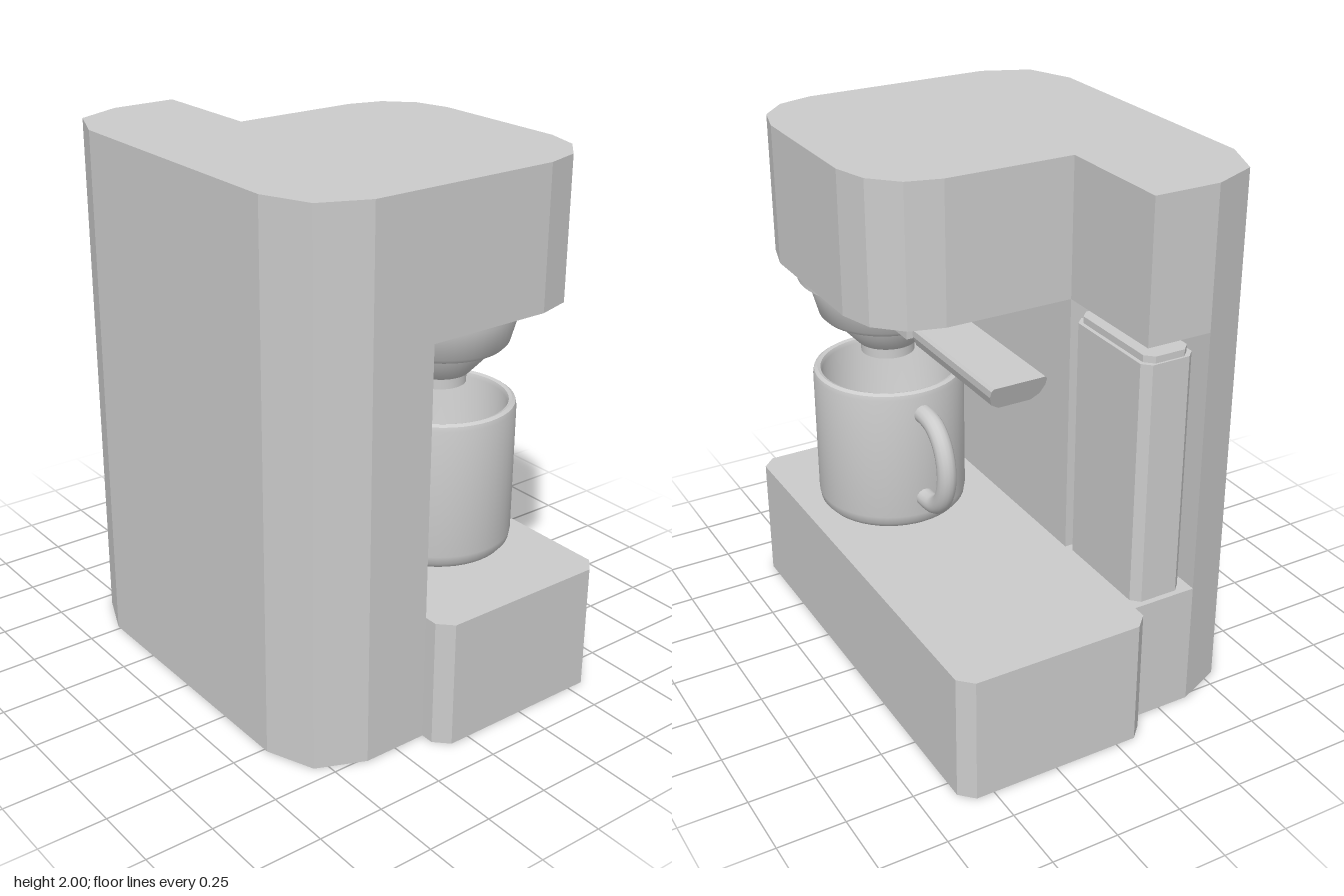
import * as THREE from 'three';
import { toCreasedNormals } from 'three/addons/utils/BufferGeometryUtils.js';

const CX = 0.27, CZ = 0.345; // shared axis of brew head and mug

export function createModel() {
  const group = new THREE.Group();
  const mat = new THREE.MeshStandardMaterial({ color: 0xcccccc });

  function add(name, geo, x = 0, y = 0, z = 0) {
    const mesh = new THREE.Mesh(geo, mat);
    mesh.name = name;
    mesh.position.set(x, y, z);
    group.add(mesh);
    return mesh;
  }
  // Plan outline [x, z] raised from y0 to y1
  function slab(name, pts, y0, y1) {
    const shape = new THREE.Shape(pts.map(([x, z]) => new THREE.Vector2(x, -z)));
    const geo = new THREE.ExtrudeGeometry(shape, { depth: y1 - y0, bevelEnabled: false });
    geo.rotateX(-Math.PI / 2);
    return add(name, geo, 0, y0, 0);
  }
  // Turned part on the shared axis, profile given as [radius, y]
  function turned(name, pts) {
    const geo = new THREE.LatheGeometry(pts.map(([r, y]) => new THREE.Vector2(r, y)), 48);
    return add(name, toCreasedNormals(geo, 0.6), CX, 0, CZ);
  }
  // Rectangle with chamfered corners
  const chamfered = (x0, x1, z0, z1, c) => [
    [x0 + c, z0], [x1 - c, z0], [x1, z0 + c], [x1, z1 - c],
    [x1 - c, z1], [x0 + c, z1], [x0, z1 - c], [x0, z0 + c]];

  // Body: column with a tank notch, and the overhanging head
  const IN = -0.125, D = 0.768;
  const outer = [[IN, D], [-0.373, D], [-0.548, 0.692], [-0.62, 0.515],
    [-0.62, -0.515], [-0.548, -0.692], [-0.373, -D]];
  slab('columnFoot', [...outer, [IN, -D]], 0, 0.482);
  slab('columnMiddle', [...outer, [-0.373, -0.305], [IN, -0.305]], 0.482, 1.485);
  slab('head', [...outer, [IN, -D], [IN, -0.305], [0.36, -0.305], [0.487, -0.27],
    [0.58, -0.175], [0.617, -0.045], [0.617, 0.5], [0.58, 0.632], [0.487, 0.73], [0.355, D]], 1.485, 2);
  slab('base', chamfered(IN, 0.617, -0.867, 0.867, 0.05), 0, 0.482);

  // Water tank and its lid
  slab('waterTank', chamfered(-0.335, -0.13, -0.753, -0.317, 0.03), 0.488, 1.41);
  slab('tankLid', chamfered(-0.32, -0.145, -0.745, -0.325, 0.03), 1.41, 1.435);

  // Brew head and filter basket
  turned('brewRing', [[0, 1.485], [0, 1.44], [0.322, 1.44], [0.322, 1.485]]);
  turned('filterHolder', [[0, 1.13], [0.1, 1.13], [0.1, 1.17], [0.112, 1.172],
    [0.165, 1.23], [0.182, 1.282], [0.235, 1.282], [0.25, 1.298], [0.278, 1.4], [0.28, 1.442]]);

  // Filter handle: socket, neck and grip running to the back
  add('handleSocket', new THREE.BoxGeometry(0.16, 0.09, 0.13), CX, 1.355, 0.085);
  const neck = new THREE.CylinderGeometry(0.034, 0.034, 0.12, 20);
  neck.rotateX(Math.PI / 2);
  add('handleNeck', neck, CX, 1.357, -0.03);
  const collar = new THREE.CylinderGeometry(0.042, 0.042, 0.03, 20);
  collar.rotateX(Math.PI / 2);
  add('handleCollar', collar, CX, 1.357, -0.02);
  const section = new THREE.Shape([[-0.06, 1.31], [0.06, 1.31], [0.09, 1.33], [0.103, 1.365],
    [0.103, 1.39], [0.095, 1.4], [-0.095, 1.4], [-0.103, 1.39], [-0.103, 1.365], [-0.09, 1.33]]
    .map(([x, y]) => new THREE.Vector2(x, y)));
  const grip = new THREE.ExtrudeGeometry(section, { depth: 0.555, bevelEnabled: false });
  grip.translate(0, 0, -0.632);
  const p = grip.attributes.position;
  for (let i = 0; i < p.count; i++) { // slant the far end
    if (p.getZ(i) < -0.6) p.setZ(i, -0.632 + (1.4 - p.getY(i)) * 0.4);
  }
  grip.computeVertexNormals();
  add('handleGrip', grip, CX, 0, 0);

  // Mug with rounded edges and a hollow inside
  turned('mug', [[0, 0.49], [0.12, 0.49], [0.13, 0.498], [0.235, 0.498], [0.262, 0.505], [0.279, 0.525],
    [0.284, 0.555], [0.284, 1.045], [0.28, 1.062], [0.268, 1.07], [0.256, 1.065], [0.25, 1.05],
    [0.25, 0.58], [0.235, 0.55], [0.2, 0.54], [0, 0.54]]);
  const loop = [[0.1, 0.175]];
  for (let i = 0; i <= 8; i++) {
    const a = i / 8 * Math.PI;
    loop.push([0.025 - 0.14 * Math.sin(a), 0.175 * Math.cos(a)]);
  }
  loop.push([0.1, -0.175]);
  const path = new THREE.CatmullRomCurve3(loop.map(([z, y]) => new THREE.Vector3(0, y, z)));
  add('mugHandle', new THREE.TubeGeometry(path, 40, 0.036, 14), CX, 0.8, 0);

  return group;
}
